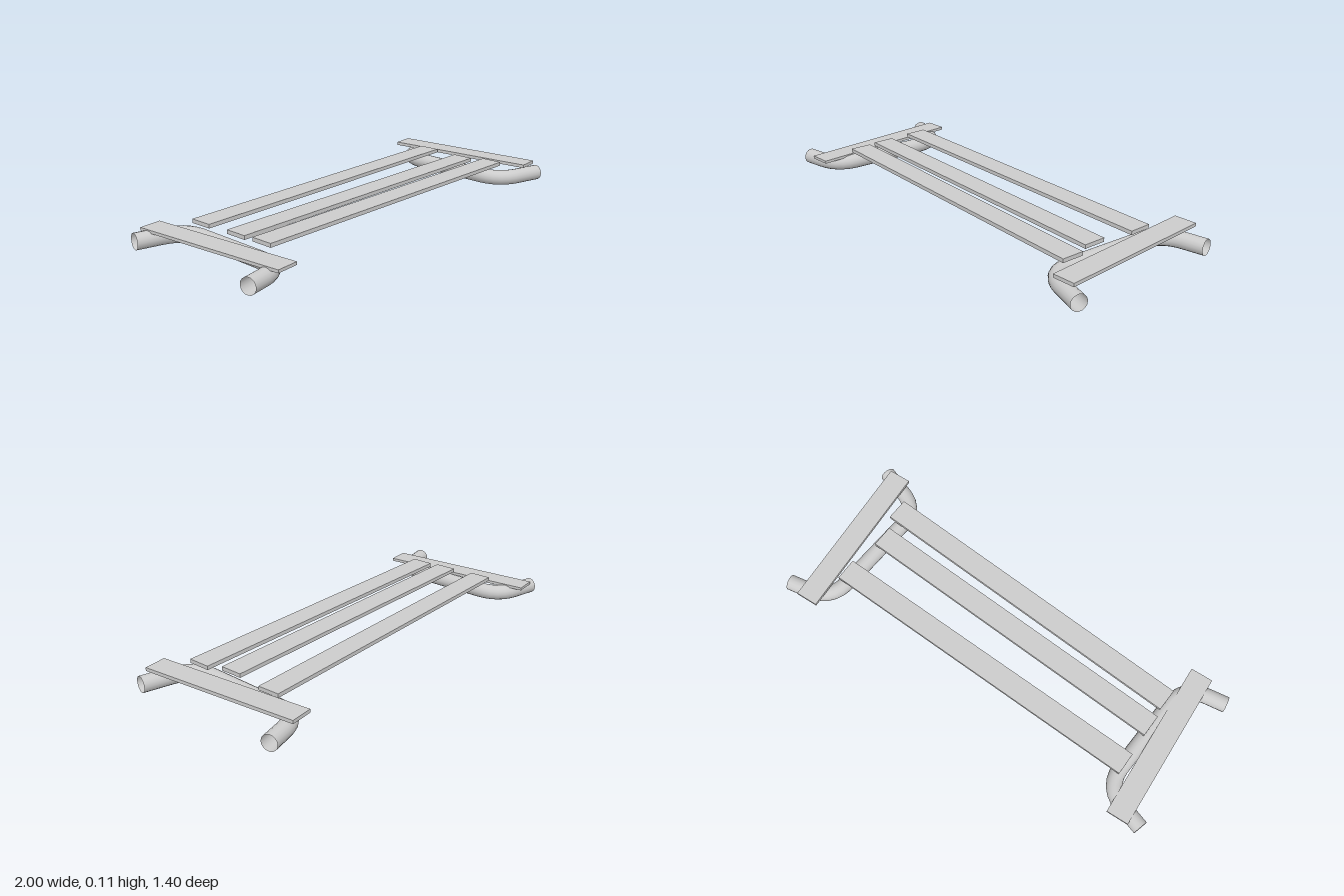
import * as THREE from 'three';

const material = new THREE.MeshStandardMaterial({ color: 0xcccccc });
const tubeMaterial = new THREE.MeshStandardMaterial({ color: 0xcccccc, side: THREE.DoubleSide });

// Flat board between two end points [x, z], with its centre at height y
function board(name, [x0, z0], [x1, z1], y, thickness = 0.017, width = 0.1) {
  const length = Math.hypot(x1 - x0, z1 - z0);
  const mesh = new THREE.Mesh(new THREE.BoxGeometry(length, thickness, width), material);
  mesh.position.set((x0 + x1) / 2, y, (z0 + z1) / 2);
  mesh.rotation.y = -Math.atan2(z1 - z0, x1 - x0);
  mesh.name = name;
  return mesh;
}

// Open pipe lying on the ground: straight runs joined by rounded corners
function pipe(name, points, bend) {
  const radius = 0.035;
  const p = points.map(([x, z]) => new THREE.Vector3(x, radius, z));
  const path = new THREE.CurvePath();
  let from = p[0];
  for (let i = 1; i < p.length - 1; i++) {
    const towards = (q) => p[i].clone().add(q.clone().sub(p[i]).setLength(bend));
    const a = towards(p[i - 1]);
    const b = towards(p[i + 1]);
    path.add(new THREE.LineCurve3(from, a));
    path.add(new THREE.QuadraticBezierCurve3(a, p[i], b));
    from = b;
  }
  path.add(new THREE.LineCurve3(from, p[p.length - 1]));
  const mesh = new THREE.Mesh(new THREE.TubeGeometry(path, 32, radius, 16), tubeMaterial);
  mesh.name = name;
  return mesh;
}

export function createModel() {
  const group = new THREE.Group();
  group.name = 'bench';

  // Three long seat slats
  const slats = [
    [[-0.75, 0.14], [0.63, -0.44]],
    [[-0.67, 0.32], [0.69, -0.222]],
    [[-0.612, 0.441], [0.775, -0.099]],
  ];
  slats.forEach(([a, b], i) => group.add(board(`seatSlat${i + 1}`, a, b, 0.097)));

  // Cross boards at both ends
  group.add(board('leftCrossBoard', [0.596, -0.655], [0.922, -0.003], 0.091, 0.015));
  group.add(board('rightCrossBoard', [-0.914, -0.008], [-0.591, 0.644], 0.068, 0.013));

  // Bent pipe frames under the ends
  group.add(pipe('leftPipe', [[0.735, -0.678], [0.565, -0.56], [0.76, -0.01], [0.995, -0.035]], 0.11));
  group.add(pipe('rightPipe', [[-0.75, 0.668], [-0.585, 0.56], [-0.78, 0.03], [-0.995, 0.058]], 0.11));

  return group;
}
